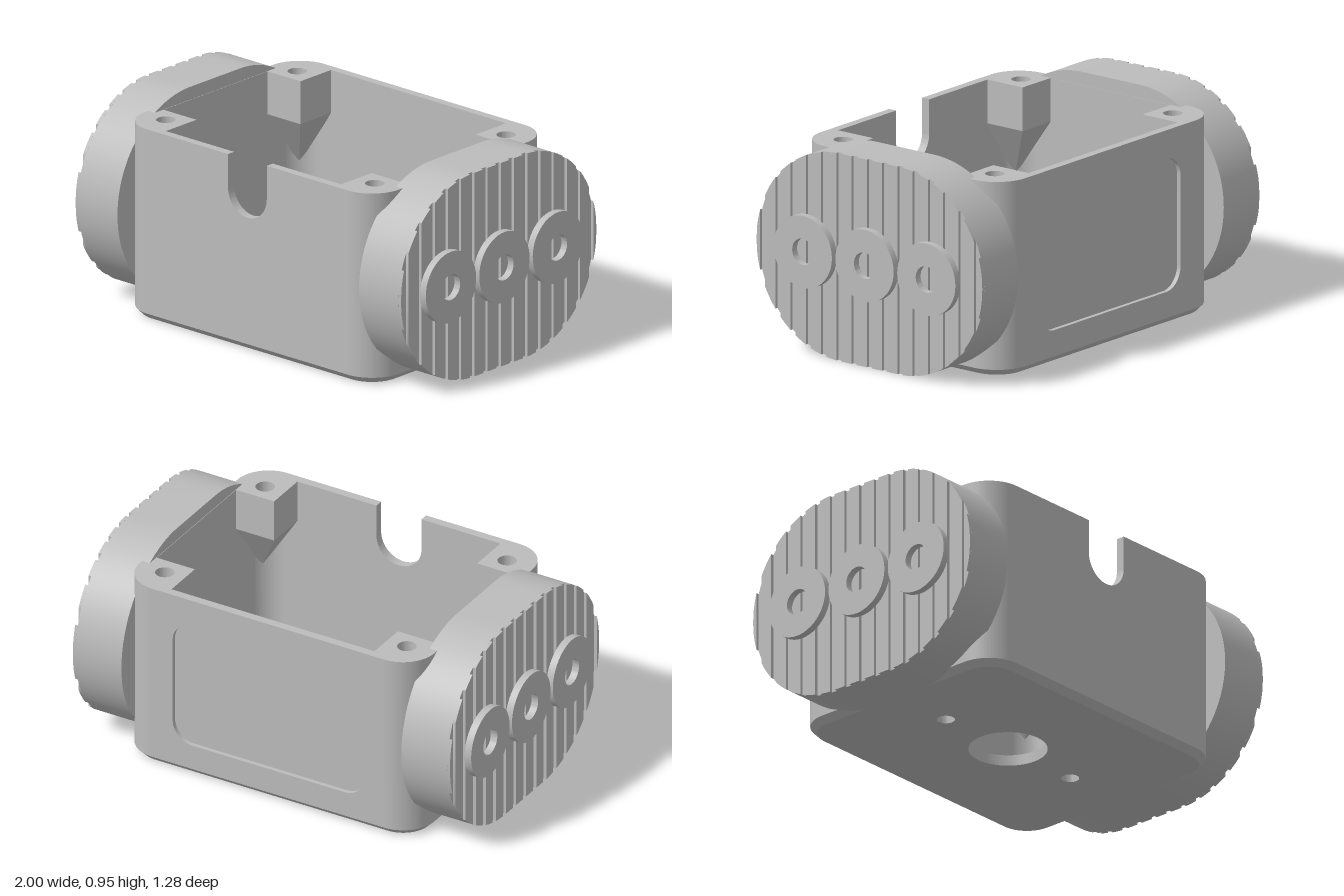
import * as THREE from 'three';
import { toCreasedNormals } from 'three/addons/utils/BufferGeometryUtils.js';
import { ConvexGeometry } from 'three/addons/geometries/ConvexGeometry.js';

const W = 0.755, D = 0.58, H = 0.89;   // housing half width, half depth, height
const R = 0.16, T = 0.04;              // corner radius, wall thickness
const CX = W - R, CZ = D - R;          // corner arc centres
const CHAMFER = 0.03, FLOOR = 0.05;
const MID = 0.475;                     // height of the end cap axis

export function createModel() {
  const group = new THREE.Group();
  const grey = new THREE.MeshStandardMaterial({ color: 0xbcbcbc });
  grey.name = 'grey plastic';

  const add = (name, geometry, parent = group) => {
    const mesh = new THREE.Mesh(toCreasedNormals(geometry, 0.5), grey);
    mesh.name = name;
    parent.add(mesh);
    return mesh;
  };
  const extrude = (shape, depth) =>
    new THREE.ExtrudeGeometry(shape, { depth, bevelEnabled: false, curveSegments: 24 });
  // plan shape raised from y0 to y1 / end shape pushed along x / wall shape pushed along z
  const alongY = (s, y0, y1) => extrude(s, y1 - y0).rotateX(-Math.PI / 2).translate(0, y0, 0);
  const alongX = (s, x0, x1) => extrude(s, x1 - x0).rotateY(Math.PI / 2).translate(x0, 0, 0);
  const alongZ = (s, z0, z1) => extrude(s, z1 - z0).translate(0, 0, z0);
  const polygon = (pts) => new THREE.Shape(pts.map(([x, y]) => new THREE.Vector2(x, y)));
  const circle = (x, y, r, Type = THREE.Path) => new Type().absarc(x, y, r, 0, Math.PI * 2);
  const roundRect = (x, y, w, h, r, Type = THREE.Shape) => {
    const s = new Type();
    s.absarc(x + w - r, y + h - r, r, 0, Math.PI / 2);
    s.absarc(x - w + r, y + h - r, r, Math.PI / 2, Math.PI);
    s.absarc(x - w + r, y - h + r, r, Math.PI, Math.PI * 1.5);
    s.absarc(x + w - r, y - h + r, r, Math.PI * 1.5, Math.PI * 2);
    s.closePath();
    return s;
  };

  // Floor: chamfered underside and inner plate, with a centre hole and two screw holes
  const floorHoles = () => [circle(0, 0, 0.175), circle(-0.41, 0, 0.04), circle(0.41, 0, 0.04)];
  const base = roundRect(0, 0, W, D, R);
  base.holes = floorHoles();
  const baseGeo = alongY(base, 0, CHAMFER);
  const p = baseGeo.attributes.position;
  for (let i = 0; i < p.count; i++) {
    if (p.getY(i) > CHAMFER / 2) continue;
    const x = p.getX(i), z = p.getZ(i), k = (R - CHAMFER) / R;
    const cx = THREE.MathUtils.clamp(x, -CX, CX), cz = THREE.MathUtils.clamp(z, -CZ, CZ);
    p.setXYZ(i, cx + (x - cx) * k, 0, cz + (z - cz) * k);
  }
  add('chamferedBase', baseGeo);
  const plate = roundRect(0, 0, W - 0.02, D - 0.02, R - 0.02);
  plate.holes = floorHoles();
  add('floorPlate', alongY(plate, CHAMFER, FLOOR));

  // Bosses around the blind screw holes in the floor
  const bossProfile = [[0, 0.13], [0.04, 0.13], [0.04, 0.04], [0.087, 0.04], [0.087, 0.15], [0, 0.15]]
    .map(([x, y]) => new THREE.Vector2(x, y));
  for (const x of [-0.41, 0.41]) {
    add('floorBoss', new THREE.LatheGeometry(bossProfile, 32)).position.x = x;
  }

  // Front wall with a round-bottomed cable notch
  const front = new THREE.Shape();
  front.moveTo(-CX, CHAMFER);
  front.lineTo(CX, CHAMFER);
  front.lineTo(CX, H);
  front.lineTo(0.115, H);
  front.lineTo(0.115, 0.735);
  front.absarc(0, 0.735, 0.115, 0, Math.PI, true);
  front.lineTo(-0.115, H);
  front.lineTo(-CX, H);
  front.closePath();
  add('frontWall', alongZ(front, D - T, D));

  // Back wall with a shallow rounded recess
  const wall = () => polygon([[-CX, CHAMFER], [CX, CHAMFER], [CX, H], [-CX, H]]);
  add('backWallInner', alongZ(wall(), -D + 0.02, -D + T));
  const backOuter = wall();
  backOuter.holes.push(roundRect(0, 0.455, 0.49, 0.305, 0.1, THREE.Path));
  add('backWallOuter', alongZ(backOuter, -D, -D + 0.02));

  // Side walls with rounded corners
  for (const side of [0, Math.PI]) {
    const s = new THREE.Shape();
    s.moveTo(CX, -D);
    s.absarc(CX, -CZ, R, -Math.PI / 2, 0);
    s.absarc(CX, CZ, R, 0, Math.PI / 2);
    s.lineTo(CX, D - T);
    s.absarc(CX, CZ, R - T, Math.PI / 2, 0, true);
    s.absarc(CX, -CZ, R - T, 0, -Math.PI / 2, true);
    s.closePath();
    add('sideWall', alongY(s, CHAMFER, H)).rotation.y = side;
  }

  // Screw posts in the corners, tapering down into the walls
  for (const sx of [-1, 1]) for (const sz of [-1, 1]) {
    const post = polygon([[0.52, 0.34], [0.73, 0.34], [0.73, 0.45], [0.63, 0.56], [0.52, 0.56]]
      .map(([x, z]) => [x * sx, -z * sz]));
    post.holes.push(circle(0.62 * sx, -0.43 * sz, 0.043));
    add('screwPost', alongY(post, 0.69, H));
    const taper = [[0.52, 0.69, 0.34], [0.715, 0.69, 0.34], [0.52, 0.69, 0.545],
      [0.69, 0.69, 0.52], [0.69, 0.42, 0.52]];
    add('postTaper', new ConvexGeometry(taper.map(([x, y, z]) => new THREE.Vector3(x * sx, y, z * sz))));
  }

  // End caps: stadium block, vertical ribs and three washers
  const capRadius = 0.475, capFlat = 0.165;
  const halfHeight = (z) => {
    const d = Math.max(0, Math.abs(z) - capFlat);
    return Math.sqrt(Math.max(0, capRadius ** 2 - d * d));
  };
  const ribShape = (z0, z1) => {
    const top = [], bottom = [], n = 6;
    for (let i = 0; i <= n; i++) {
      const z = z0 + (z1 - z0) * i / n, h = Math.max(halfHeight(z), 0.001);
      bottom.push([z, MID - h]);
      top.unshift([z, MID + h]);
    }
    return polygon([...bottom, ...top]);
  };
  const pitch = 0.0865, groove = 0.028, capEnd = capFlat + capRadius;
  for (const side of [0, Math.PI]) {
    const cap = new THREE.Group();
    cap.name = side ? 'rightEndCap' : 'leftEndCap';
    cap.rotation.y = side;
    group.add(cap);

    const stadium = new THREE.Shape();
    stadium.absarc(capFlat, MID, capRadius, -Math.PI / 2, Math.PI / 2);
    stadium.absarc(-capFlat, MID, capRadius, Math.PI / 2, Math.PI * 1.5);
    stadium.closePath();
    add('capBlock', alongX(stadium, 0.717, 0.952), cap);

    for (let k = -8; k < 8; k++) {
      const z0 = Math.max(k * pitch + groove / 2, -capEnd);
      const z1 = Math.min((k + 1) * pitch - groove / 2, capEnd);
      if (z1 > z0) add('capRib', alongX(ribShape(z0, z1), 0.952, 0.966), cap);
    }
    for (const z of [-0.35, 0, 0.35]) {
      const washer = circle(z, MID, 0.165, THREE.Shape);
      washer.holes.push(circle(z, MID, 0.06));
      add('capWasher', alongX(washer, 0.966, 1), cap);
    }
  }
  return group;
}
